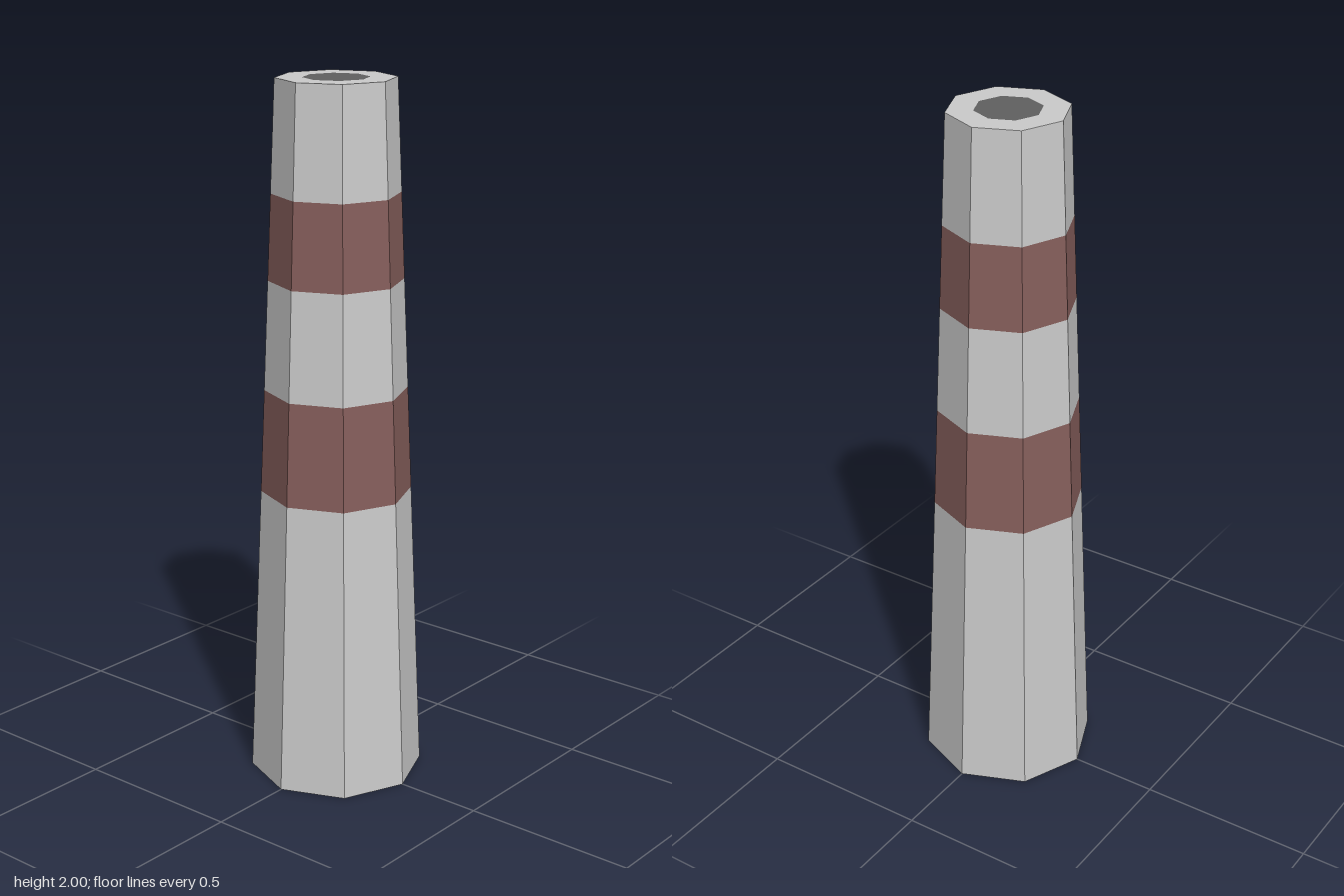
import * as THREE from 'three';

const SIDES = 8, HEIGHT = 2, BASE_RADIUS = 0.248, TOP_RADIUS = 0.166, FLUE_RADIUS = 0.092;

// Radius of the tapering shaft at a given height
const radiusAt = (y) => THREE.MathUtils.lerp(BASE_RADIUS, TOP_RADIUS, y / HEIGHT);

const material = (color) =>
  new THREE.MeshStandardMaterial({ color, flatShading: true, side: THREE.DoubleSide });

export function createModel() {
  const chimney = new THREE.Group();
  chimney.name = 'chimney';
  const grey = material(0xcccccc);
  const red = material(0x875f5c);
  const dark = material(0x606060);

  const add = (name, geometry, mat) => {
    const mesh = new THREE.Mesh(geometry, mat);
    mesh.name = name;
    chimney.add(mesh);
    return mesh;
  };

  // Shaft sections, alternating plain and painted; open underneath
  const sections = [
    ['lowerShaft', 0, 0.845, grey],
    ['lowerBand', 0.845, 1.14, red],
    ['middleShaft', 1.14, 1.45, grey],
    ['upperBand', 1.45, 1.69, red],
    ['upperShaft', 1.69, HEIGHT, grey],
  ];
  for (const [name, y0, y1, mat] of sections) {
    const geometry = new THREE.CylinderGeometry(radiusAt(y1), radiusAt(y0), y1 - y0, SIDES, 1, true);
    add(name, geometry, mat).position.y = (y0 + y1) / 2;
  }

  // Flat rim around the dark flue opening
  const rim = new THREE.RingGeometry(FLUE_RADIUS, TOP_RADIUS, SIDES).rotateX(-Math.PI / 2);
  add('topRim', rim, grey).position.y = HEIGHT;
  const flue = new THREE.CircleGeometry(FLUE_RADIUS, SIDES).rotateX(-Math.PI / 2);
  add('flueOpening', flue, dark).position.y = HEIGHT;

  return chimney;
}
